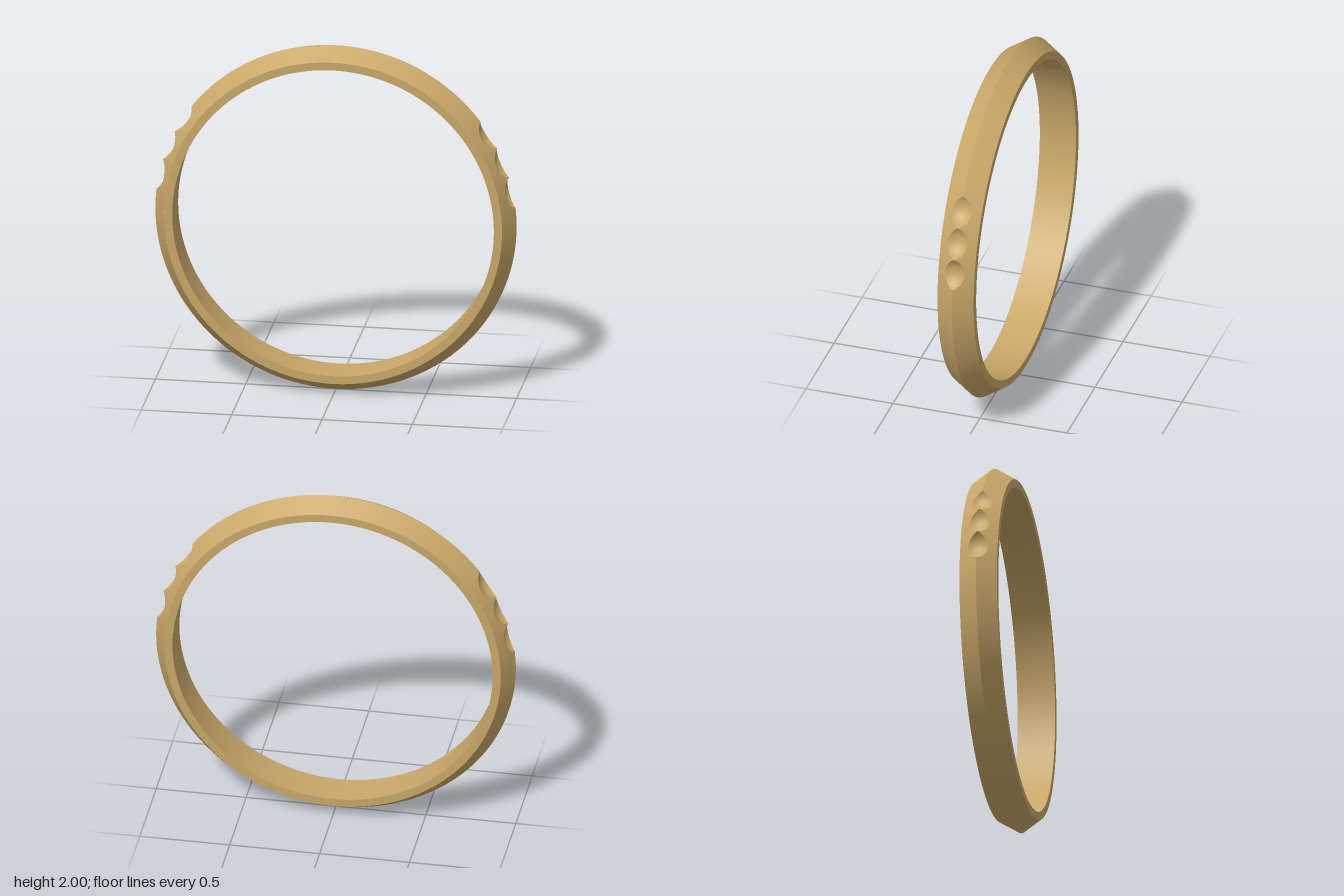
import * as THREE from 'three';

const RIDGE = 1, SHOULDER = 0.935, INNER = 0.89, HALF_W = 0.104;
const SLOPE = (RIDGE - SHOULDER) / HALF_W;
const DEG = Math.PI / 180;

// Spherical notches: centre distance from the ring axis, half angle on the ridge, radius
const CUT_DIST = 1.06, CUT_HALF = 5.1;
const CUT_R = Math.sqrt(1 + CUT_DIST ** 2 - 2 * CUT_DIST * Math.cos(CUT_HALF * DEG));
const RIGHT_CUTS = [11.4, 21.6, 31.8];
const CUTS = [...RIGHT_CUTS, ...RIGHT_CUTS.map(a => 180 - a)];

// Half width of a notch's rim at angle a (degrees) from the notch centre
function rimZ(a) {
  if (Math.abs(a) > CUT_HALF - 1e-6) return 0;
  const cos = Math.cos(a * DEG);
  const A = 1 + SLOPE ** 2;
  const B = 2 * SLOPE * (CUT_DIST * cos - 1);
  const C = 1 + CUT_DIST ** 2 - 2 * CUT_DIST * cos - CUT_R ** 2;
  return Math.max(0, (-B + Math.sqrt(B * B - 4 * A * C)) / (2 * A));
}

const rimAt = deg => Math.max(...CUTS.map(c => rimZ(deg - c)));
const bevelR = z => RIDGE - SLOPE * Math.abs(z);

// Sweep a cross-section of [radius, z] points around the ring axis
function sweep(from, to, steps, section) {
  const pos = [], index = [];
  let rows = 0;
  for (let i = 0; i <= steps; i++) {
    const deg = from + (to - from) * i / steps;
    const pts = section(deg);
    rows = pts.length;
    for (const [r, z] of pts) pos.push(r * Math.cos(deg * DEG), r * Math.sin(deg * DEG), z);
  }
  for (let i = 0; i < steps; i++) {
    for (let j = 0; j < rows - 1; j++) {
      const a = i * rows + j, b = a + rows;
      index.push(a, b, a + 1, b, b + 1, a + 1);
    }
  }
  const geo = new THREE.BufferGeometry();
  geo.setAttribute('position', new THREE.Float32BufferAttribute(pos, 3));
  geo.setIndex(index);
  geo.computeVertexNormals();
  return geo;
}

export function createModel() {
  const group = new THREE.Group();
  group.name = 'ring';
  const gold = new THREE.MeshStandardMaterial({ color: 0xc9a769 });
  const add = (name, geo) => {
    const mesh = new THREE.Mesh(geo, gold);
    mesh.name = name;
    mesh.position.y = 1;
    group.add(mesh);
  };

  // Two outer bevels meeting at the ridge, trimmed along the notch rims
  const STEPS = 1200;
  add('frontBevel', sweep(0, 360, STEPS, d => {
    const z = rimAt(d);
    return [[bevelR(z), z], [SHOULDER, HALF_W]];
  }));
  add('backBevel', sweep(0, 360, STEPS, d => {
    const z = rimAt(d);
    return [[SHOULDER, -HALF_W], [bevelR(z), -z]];
  }));

  // Flat side faces and the inner wall
  add('frontFace', sweep(0, 360, 240, () => [[SHOULDER, HALF_W], [INNER, HALF_W]]));
  add('backFace', sweep(0, 360, 240, () => [[INNER, -HALF_W], [SHOULDER, -HALF_W]]));
  add('innerWall', sweep(0, 360, 240, () => [[INNER, HALF_W], [INNER, -HALF_W]]));

  // Hollow of each notch
  const N = 24;
  CUTS.forEach((centre, i) => {
    add('notch' + (i + 1), sweep(centre - CUT_HALF, centre + CUT_HALF, 34, d => {
      const a = (d - centre) * DEG, rim = rimZ(d - centre);
      return Array.from({ length: N + 1 }, (_, j) => {
        const z = rim * (2 * j / N - 1);
        const h = CUT_R ** 2 - z * z - (CUT_DIST * Math.sin(a)) ** 2;
        return [CUT_DIST * Math.cos(a) - Math.sqrt(Math.max(0, h)), z];
      });
    }));
  });

  return group;
}
